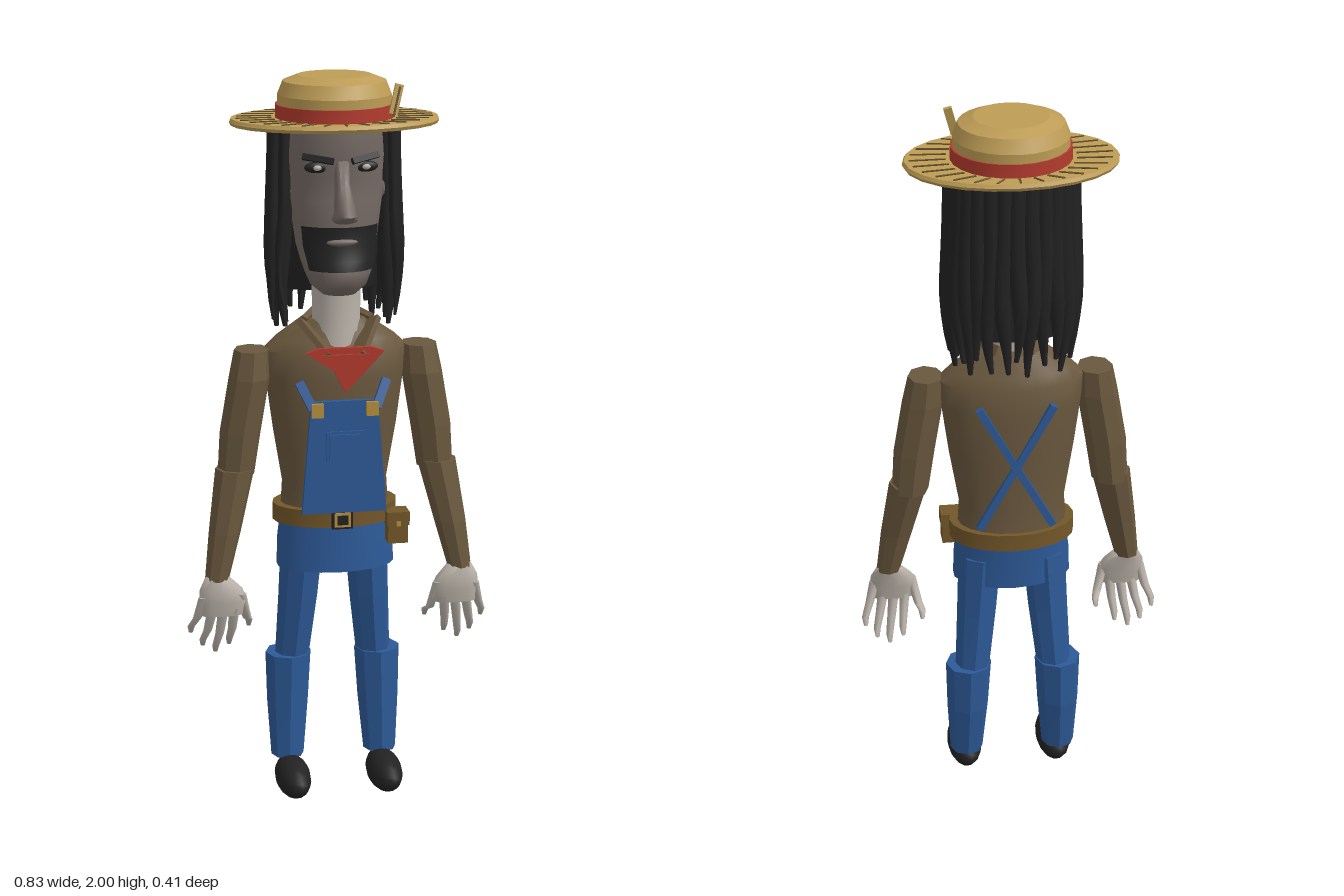
import * as THREE from 'three';
import { toCreasedNormals } from 'three/addons/utils/BufferGeometryUtils.js';

const mat = (name, color) => {
  const m = new THREE.MeshStandardMaterial({ color });
  m.name = name;
  return m;
};

export function createModel() {
  const M = {
    straw: mat('straw', 0xbd9c55), strawLine: mat('strawLine', 0x5e4d2b), red: mat('red', 0xb23a2d),
    skin: mat('paleSkin', 0xb9b1a8), face: mat('faceSkin', 0x756a64), black: mat('black', 0x222222),
    shirt: mat('shirtBrown', 0x6a583e), denim: mat('denim', 0x2d5a98),
    leather: mat('leather', 0x735729), brass: mat('brass', 0xb88f3c),
  };
  M.black.side = THREE.DoubleSide;
  const root = new THREE.Group();
  root.name = 'farmer';

  const add = (name, geo, material, parent = root) => {
    const m = new THREE.Mesh(geo, material);
    m.name = name;
    parent.add(m);
    return m;
  };

  // Skin over level elliptical rings [x, y, z, rx, rz], listed bottom to top.
  // A full turn is capped; a partial arc (half angle) is an open patch facing +z.
  const loft = (rings, n = 16, crease = 0.9, arc = Math.PI) => {
    const full = arc === Math.PI, cols = full ? n : n + 1, pos = [], idx = [];
    rings.forEach(([x, y, z, rx, rz]) => {
      for (let i = 0; i < cols; i++) {
        const a = -arc + (2 * arc * i) / n;
        pos.push(x + rx * Math.sin(a), y, z + rz * Math.cos(a));
      }
    });
    const top = rings.length - 1;
    for (let j = 0; j < top; j++) for (let i = 0; i < n; i++) {
      const a = j * cols + i, b = j * cols + ((i + 1) % cols);
      idx.push(a, b, b + cols, a, b + cols, a + cols);
    }
    if (full) {
      const c = pos.length / 3;
      pos.push(...rings[0].slice(0, 3), ...rings[top].slice(0, 3));
      for (let i = 0; i < n; i++) {
        const k = (i + 1) % n;
        idx.push(c, k, i, c + 1, top * n + i, top * n + k);
      }
    }
    const g = new THREE.BufferGeometry();
    g.setAttribute('position', new THREE.Float32BufferAttribute(pos, 3));
    g.setIndex(idx);
    return toCreasedNormals(g, crease);
  };

  // Straight flat bar between two points
  const bar = (name, from, to, w, d, material, parent = root) => {
    const a = new THREE.Vector3(...from), b = new THREE.Vector3(...to);
    const dir = b.clone().sub(a);
    const m = add(name, new THREE.BoxGeometry(w, dir.length(), d), material, parent);
    m.position.copy(a).add(b).multiplyScalar(0.5);
    m.quaternion.setFromUnitVectors(new THREE.Vector3(0, 1, 0), dir.normalize());
    return m;
  };
  const box = (name, x, y, z, w, h, d, material) => {
    const m = add(name, new THREE.BoxGeometry(w, h, d), material);
    m.position.set(x, y, z);
    return m;
  };
  const ball = (name, x, y, z, sx, sy, sz, material) => {
    const m = add(name, new THREE.SphereGeometry(1, 14, 10), material);
    m.position.set(x, y, z);
    m.scale.set(sx, sy, sz);
    return m;
  };
  const plate = (name, pts, z, depth, material) => {
    const s = new THREE.Shape(pts.map(p => new THREE.Vector2(...p)));
    const m = add(name, new THREE.ExtrudeGeometry(s, { depth, bevelEnabled: false }), material);
    m.position.z = z;
    return m;
  };

  // Straw hat
  const hz = -0.015;
  add('hatBrim', loft([[0, 1.872, hz, 0.275, 0.19], [0, 1.881, hz, 0.28, 0.195], [0, 1.89, hz, 0.275, 0.19]], 24, 0.5), M.straw);
  add('hatCrown', loft([[0, 1.885, hz, 0.152, 0.145], [0, 1.95, hz, 0.151, 0.145],
    [0, 1.985, hz, 0.137, 0.127], [0, 2, hz, 0.098, 0.093]], 24, 0.3), M.straw);
  add('hatBand', loft([[0, 1.888, hz, 0.158, 0.15], [0, 1.925, hz, 0.157, 0.149]], 24), M.red);
  for (let i = 0; i < 28; i++) {
    const a = (i / 28) * Math.PI * 2, s = Math.sin(a), c = Math.cos(a);
    bar('brimLine', [s * 0.168, 1.89, hz + c * 0.156], [s * 0.262, 1.89, hz + c * 0.182], 0.005, 0.005, M.strawLine);
  }
  bar('hatFeather', [0.13, 1.91, 0.115], [0.15, 1.985, 0.1], 0.022, 0.01, M.straw);
  bar('featherQuill', [0.13, 1.905, 0.122], [0.15, 1.98, 0.107], 0.005, 0.005, M.strawLine);

  // Head
  add('head', loft([[0, 1.43, 0.05, 0.045, 0.04], [0, 1.455, 0.04, 0.075, 0.08], [0, 1.49, 0.03, 0.09, 0.1],
    [0, 1.525, 0.015, 0.1, 0.1], [0, 1.56, 0, 0.108, 0.095], [0, 1.61, 0, 0.115, 0.1], [0, 1.68, -0.005, 0.125, 0.1],
    [0, 1.74, -0.01, 0.127, 0.1], [0, 1.79, -0.01, 0.13, 0.115], [0, 1.88, -0.015, 0.125, 0.11]], 28, 1.2), M.face);
  add('nose', loft([[0, 1.628, 0.1, 0.022, 0.03], [0, 1.64, 0.13, 0.034, 0.05], [0, 1.658, 0.15, 0.03, 0.055],
    [0, 1.68, 0.13, 0.026, 0.052], [0, 1.73, 0.1, 0.02, 0.035], [0, 1.79, 0.09, 0.02, 0.018]], 12, 1.3), M.face);
  add('beard', loft([[0, 1.5, 0.026, 0.101, 0.103], [0, 1.525, 0.015, 0.107, 0.107], [0, 1.56, 0, 0.116, 0.104],
    [0, 1.615, 0, 0.122, 0.108]], 16, 1.2, 1.0), M.black);
  ball('mouth', 0, 1.575, 0.1, 0.042, 0.01, 0.012, M.face);
  for (const s of [-1, 1]) {
    ball('eyeSocket', s * 0.065, 1.772, 0.083, 0.033, 0.015, 0.013, M.black);
    ball('eye', s * 0.065, 1.772, 0.091, 0.013, 0.008, 0.008, M.skin);
    bar('eyebrow', [s * 0.025, 1.79, 0.108], [s * 0.1, 1.8, 0.072], 0.016, 0.012, M.black);
    ball('ear', s * 0.125, 1.7, -0.01, 0.018, 0.04, 0.025, M.face);
  }
  add('neck', loft([[0, 1.24, 0.02, 0.075, 0.07], [0, 1.36, 0.01, 0.065, 0.062], [0, 1.5, 0.01, 0.068, 0.065]], 16), M.skin);

  // Long wavy hair: a core with tapering locks round the sides and back
  add('hairCore', loft([[0, 1.42, -0.08, 0.12, 0.05], [0, 1.6, -0.06, 0.135, 0.08], [0, 1.88, -0.045, 0.135, 0.09]], 16), M.black);
  const lock = (a, rx, rz, y0, r, phase) => {
    const rings = [];
    for (let j = 0; j <= 10; j++) {
      const t = j / 10, drop = 1 - t;
      const flare = 1 + 0.2 * Math.sin(Math.PI * Math.min(1, drop * 0.75)) * drop - 0.12 * drop * drop;
      const b = a + 0.07 * Math.sin(drop * 7 + phase) * drop;
      const w = r * Math.min(1, 0.25 + t * 2.2);
      rings.push([Math.sin(b) * rx * flare, y0 + (1.885 - y0) * t,
        -0.05 + Math.cos(b) * rz * (1 + 0.05 * drop), w, w]);
    }
    add('hairLock', loft(rings, 8, 1.2), M.black);
  };
  for (let i = 0; i < 19; i++) {
    const a = 1.08 + (i / 18) * (Math.PI * 2 - 2.16);
    lock(a, 0.15, 0.088, 1.32 + 0.05 * (0.5 + 0.5 * Math.sin(i * 2.3)), 0.025, i * 1.7);
  }
  for (const s of [-1, 1]) {
    lock(s * 0.98, 0.172, 0.165, 1.4, 0.013, s);
    lock(s * 1.25, 0.168, 0.13, 1.35, 0.017, s * 2);
  }

  // Shirt
  add('shirtBody', loft([[0, 0.82, -0.02, 0.15, 0.1], [0, 0.9, -0.02, 0.145, 0.095], [0, 1.05, -0.015, 0.17, 0.105],
    [0, 1.2, -0.015, 0.19, 0.11], [0, 1.27, -0.015, 0.195, 0.103], [0, 1.3, -0.015, 0.165, 0.092],
    [0, 1.355, -0.015, 0.085, 0.07]], 20, 0.7), M.shirt);
  for (const s of [-1, 1]) {
    bar('collar', [s * 0.095, 1.35, 0.03], [s * 0.035, 1.275, 0.135], 0.05, 0.016, M.shirt);
    bar('collarBack', [s * 0.095, 1.35, 0.03], [s * 0.04, 1.365, -0.07], 0.016, 0.03, M.shirt);
  }

  // Neckerchief
  plate('neckerchief', [[-0.105, 1.29], [-0.03, 1.24], [0, 1.18], [0.03, 1.21], [0.105, 1.29], [0.07, 1.302], [-0.07, 1.302]], 0.132, 0.014, M.red);
  plate('neckerchiefFold', [[-0.065, 1.285], [0, 1.2], [0.065, 1.285]], 0.146, 0.008, M.red);

  // Overalls: hip, bib and crossed back straps
  add('overallHips', loft([[0, 0.66, -0.01, 0.163, 0.1], [0, 0.74, -0.012, 0.16, 0.1], [0, 0.8, -0.015, 0.152, 0.1]], 18), M.denim);
  plate('bib', [[-0.115, 0.845], [0.115, 0.845], [0.09, 1.155], [-0.09, 1.155]], 0.122, 0.014, M.denim);
  box('bibPocketEdge', 0, 1.03, 0.138, 0.1, 0.085, 0.008, M.denim);
  box('bibPocket', 0, 1.03, 0.143, 0.084, 0.07, 0.01, M.denim);
  for (const s of [-1, 1]) {
    bar('frontStrap', [s * 0.085, 1.135, 0.138], [s * 0.118, 1.205, 0.11], 0.024, 0.014, M.denim);
    box('strapBuckle', s * 0.074, 1.133, 0.142, 0.032, 0.038, 0.012, M.brass);
    bar('backStrap', [s * 0.1, 0.86, -0.118], [-s * 0.1, 1.225, -0.123], 0.02, 0.016, M.denim);
  }

  // Belt, buckle and pouch
  add('belt', loft([[0, 0.79, -0.017, 0.172, 0.115], [0, 0.838, -0.017, 0.172, 0.115]], 20), M.leather);
  box('beltBuckle', 0, 0.815, 0.1, 0.056, 0.052, 0.014, M.black);
  box('buckleFrame', 0, 0.815, 0.106, 0.044, 0.04, 0.008, M.brass);
  box('buckleCentre', 0, 0.815, 0.109, 0.03, 0.026, 0.008, M.black);
  box('pouch', 0.158, 0.775, 0.06, 0.055, 0.085, 0.05, M.leather);
  box('pouchFlap', 0.158, 0.803, 0.062, 0.062, 0.038, 0.056, M.leather);
  box('pouchButton', 0.158, 0.79, 0.092, 0.012, 0.012, 0.006, M.brass);

  // Limbs, mirrored; flat-faced sleeves and trousers
  for (const s of [-1, 1]) {
    const limb = (name, rings, n, crease, material) =>
      add(name, loft(rings.map(([x, ...r]) => [s * x, ...r]), n, crease), material);
    limb('upperSleeve', [[0.275, 0.93, 0.005, 0.05, 0.055], [0.262, 1.05, 0.005, 0.056, 0.062],
      [0.236, 1.2, 0.005, 0.056, 0.065], [0.228, 1.275, 0, 0.048, 0.055]], 8, 0.02, M.shirt);
    limb('lowerSleeve', [[0.337, 0.65, 0.055, 0.033, 0.034], [0.312, 0.78, 0.04, 0.044, 0.045],
      [0.278, 0.95, 0.01, 0.054, 0.058]], 8, 0.02, M.shirt);
    limb('palm', [[0.325, 0.55, 0.068, 0.055, 0.015], [0.322, 0.59, 0.068, 0.067, 0.023],
      [0.328, 0.625, 0.065, 0.058, 0.028], [0.338, 0.66, 0.056, 0.03, 0.028]], 12, 1.2, M.skin);
    const fingers = [[0.275, 0.61, 0.247, 0.5], [0.292, 0.57, 0.302, 0.45], [0.322, 0.57, 0.34, 0.43],
      [0.352, 0.57, 0.375, 0.45], [0.375, 0.605, 0.407, 0.49]];
    fingers.forEach(([x0, y0, x1, y1], i) => {
      const bend = i === 0 ? 0.7 : 0.55;
      limb(i ? 'finger' : 'thumb', [[x1, y1, 0.022, 0.006, 0.008], [x1, y1 + 0.02, 0.032, 0.01, 0.012],
        [x0 + (x1 - x0) * bend, y0 + (y1 - y0) * bend, 0.055, 0.012, 0.013], [x0, y0, 0.07, 0.015, 0.015]], 8, 1.2, M.skin);
    });
    limb('thigh', [[0.115, 0.38, -0.05, 0.048, 0.052], [0.1, 0.56, -0.035, 0.055, 0.063],
      [0.088, 0.74, -0.025, 0.06, 0.075]], 8, 0.02, M.denim);
    limb('shin', [[0.132, 0.09, -0.032, 0.046, 0.046], [0.129, 0.25, -0.045, 0.058, 0.06],
      [0.126, 0.39, -0.05, 0.064, 0.066]], 8, 0.02, M.denim);
    ball('shoe', s * 0.13, 0.052, 0.048, 0.049, 0.051, 0.108, M.black);
  }
  return root;
}
